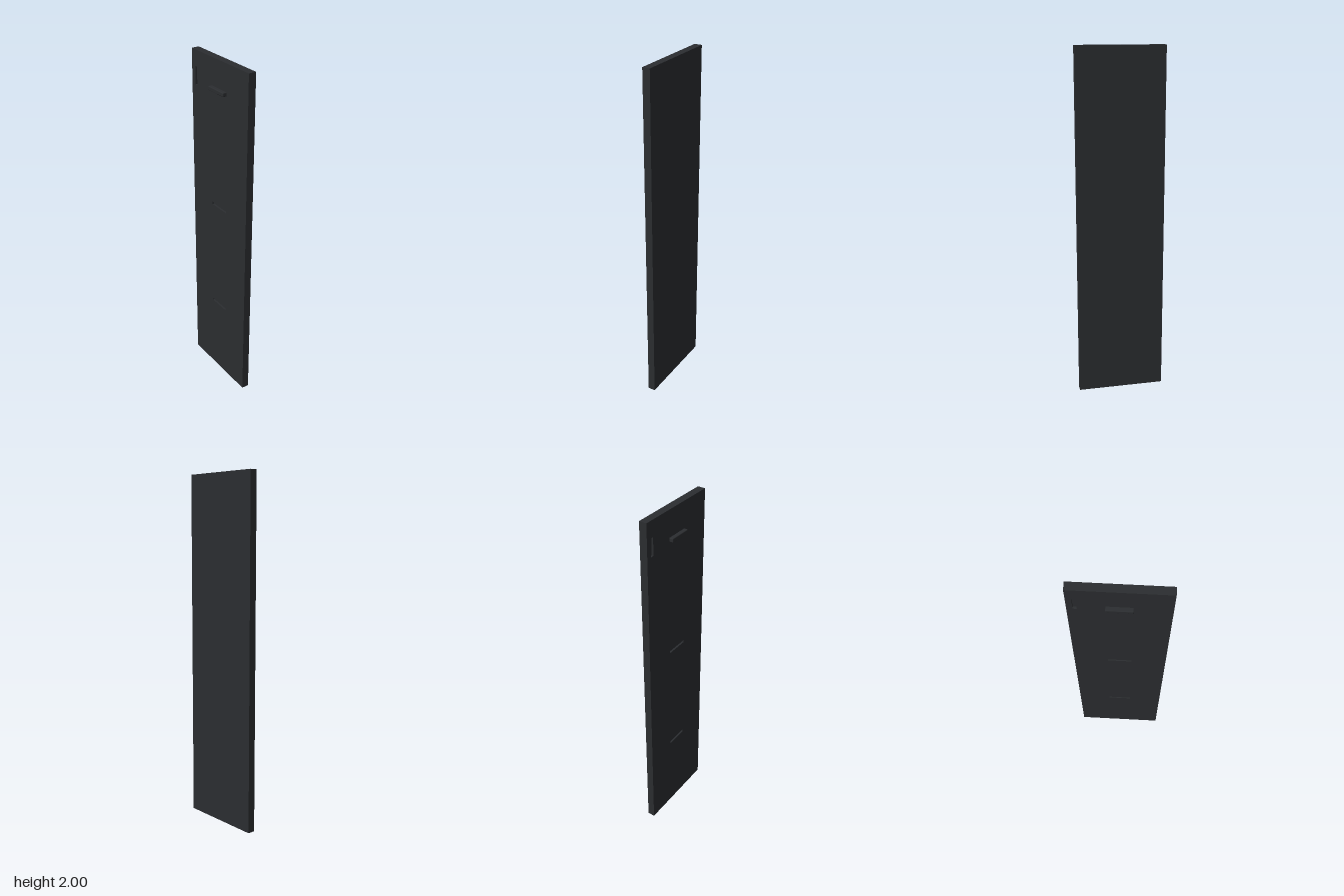
import * as THREE from 'three';
import { RoundedBoxGeometry } from 'three/addons/geometries/RoundedBoxGeometry.js';

const FACE = -0.011, BACK = 0.032, DEPTH = 0.011; // panel faces and slot depth along x
const HALF = 0.25, HEIGHT = 2;

// Rectangular outline centred on (z, y)
function rect(path, z, y, w, h) {
  path.moveTo(z - w / 2, y - h / 2);
  path.lineTo(z + w / 2, y - h / 2);
  path.lineTo(z + w / 2, y + h / 2);
  path.lineTo(z - w / 2, y + h / 2);
  path.closePath();
  return path;
}

export function createModel() {
  const group = new THREE.Group();
  const material = new THREE.MeshStandardMaterial({ color: 0x2b2d30 });
  const add = (name, geometry, x = 0, y = 0, z = 0) => {
    const mesh = new THREE.Mesh(geometry, material);
    mesh.name = name;
    mesh.position.set(x, y, z);
    group.add(mesh);
  };

  // Solid core of the door panel
  const coreX = FACE + DEPTH;
  add('panelCore', new THREE.BoxGeometry(BACK - coreX, HEIGHT, HALF * 2),
    (BACK + coreX) / 2, HEIGHT / 2, 0);

  // Face layer, cut by two level slots and an upright latch slot
  const face = rect(new THREE.Shape(), 0, HEIGHT / 2, HALF * 2, HEIGHT);
  const slots = [[0, 1.16, 0.13, 0.016], [0, 0.49, 0.13, 0.016], [-0.21, 1.86, 0.02, 0.1]];
  for (const s of slots) face.holes.push(rect(new THREE.Path(), ...s));
  const skin = new THREE.ExtrudeGeometry(face, { depth: DEPTH, bevelEnabled: false });
  skin.rotateY(-Math.PI / 2);
  add('slottedFace', skin, coreX, 0, 0);

  // Ledge handle near the top
  add('handle', new RoundedBoxGeometry(0.026, 0.022, 0.133, 3, 0.004), -0.02, 1.84, 0);

  return group;
}
